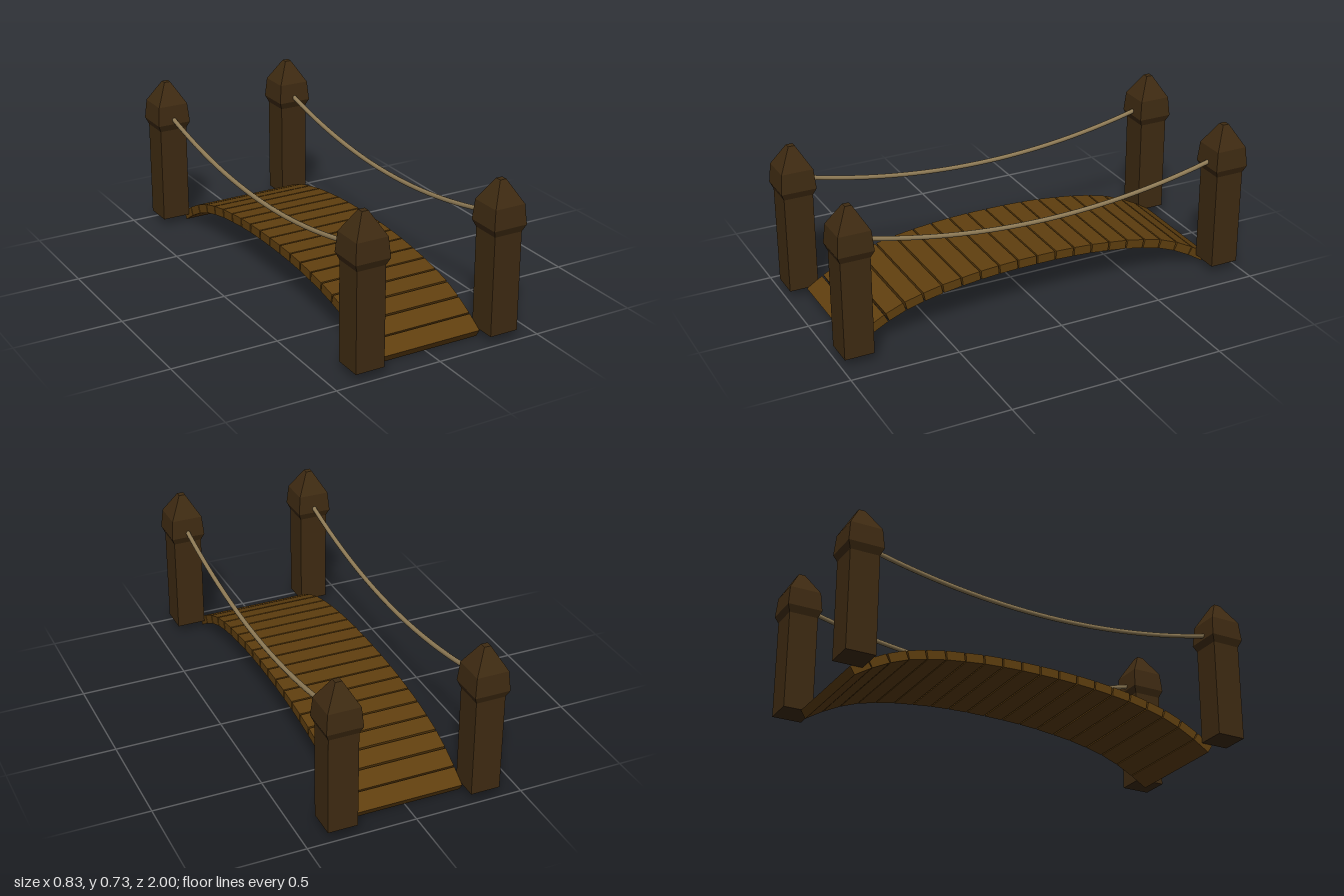
import * as THREE from 'three';

export function createModel() {
  const bridge = new THREE.Group();
  bridge.name = 'footbridge';
  const material = (color) => new THREE.MeshStandardMaterial({ color, flatShading: true });
  const postWood = material(0x3f2b12);
  const plankWood = material(0x603f0f);
  const ropeFibre = material(0x8f7b56);

  const add = (name, geometry, mat) => {
    const mesh = new THREE.Mesh(geometry, mat);
    mesh.name = name;
    bridge.add(mesh);
    return mesh;
  };

  // Square posts with a flared, tapering cap: half-width and height pairs
  const profile = [[0, 0.04], [0.068, 0.04], [0.068, 0.5], [0.082, 0.533],
    [0.074, 0.625], [0.015, 0.728], [0, 0.728]]
    .map(([half, y]) => new THREE.Vector2(half * Math.SQRT2, y));
  const postGeometry = new THREE.LatheGeometry(profile, 4).rotateY(Math.PI / 4);
  for (const x of [-0.333, 0.333]) {
    for (const z of [-0.918, 0.918]) {
      add('post', postGeometry, postWood).position.set(x, 0, z);
    }
  }

  // Arched deck: plank joints from the crown to one end, mirrored
  const joints = [[0, 0.217], [0.094, 0.2165], [0.188, 0.213], [0.28, 0.207], [0.372, 0.197],
    [0.465, 0.185], [0.557, 0.167], [0.645, 0.145], [0.733, 0.111], [0.818, 0.067], [0.896, 0.018]];
  const gap = 0.007;
  for (let i = 0; i < joints.length - 1; i++) {
    const [z0, y0] = joints[i];
    const [z1, y1] = joints[i + 1];
    const last = i === joints.length - 2;
    const length = Math.hypot(z1 - z0, y1 - y0) - (last ? gap / 2 : gap);
    const geometry = new THREE.BoxGeometry(0.528, 0.042, length);
    for (const side of [-1, 1]) {
      const plank = add('plank', geometry, plankWood);
      plank.position.set(0, (y0 + y1) / 2, side * (z0 + z1) / 2);
      plank.rotation.x = side * Math.atan2(y0 - y1, z1 - z0);
    }
  }

  // Sagging hand ropes, ending inside the posts
  const smoothRope = ropeFibre.clone();
  smoothRope.flatShading = false;
  for (const x of [-0.333, 0.333]) {
    const points = [];
    for (let i = -8; i <= 8; i++) {
      const z = 0.88 * i / 8;
      points.push(new THREE.Vector3(x, 0.449 + 0.107 * (z / 0.85) ** 2, z));
    }
    const path = new THREE.CatmullRomCurve3(points);
    add('handRope', new THREE.TubeGeometry(path, 32, 0.011, 8), smoothRope);
  }
  return bridge;
}
